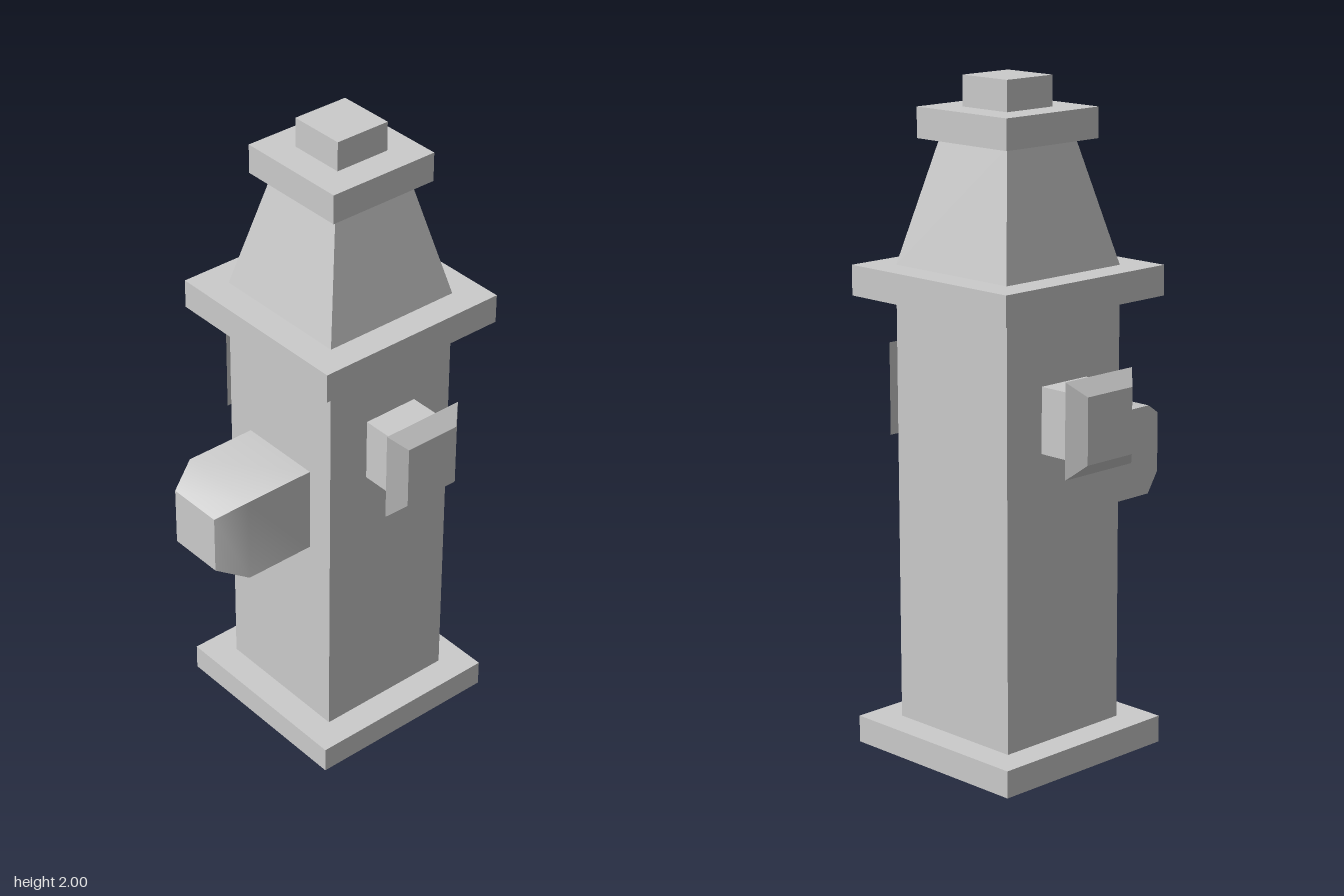
import * as THREE from 'three';
import { toCreasedNormals } from 'three/addons/utils/BufferGeometryUtils.js';

const material = new THREE.MeshStandardMaterial({ color: 0xcccccc });

// Closed solid through rectangular sections [y, halfX, halfZ], listed from bottom to top.
function rectLoft(name, sections) {
  const positions = [];
  const index = [];
  for (const [y, hx, hz] of sections) {
    positions.push(-hx, y, hz, hx, y, hz, hx, y, -hz, -hx, y, -hz);
  }
  const quad = (a, b, c, d) => index.push(a, b, c, a, c, d);
  for (let s = 0; s < sections.length - 1; s++) {
    for (let i = 0; i < 4; i++) {
      const j = (i + 1) % 4;
      quad(s * 4 + i, s * 4 + j, s * 4 + 4 + j, s * 4 + 4 + i);
    }
  }
  const top = (sections.length - 1) * 4;
  quad(3, 2, 1, 0);
  quad(top, top + 1, top + 2, top + 3);

  const geometry = new THREE.BufferGeometry();
  geometry.setAttribute('position', new THREE.Float32BufferAttribute(positions, 3));
  geometry.setIndex(index);
  const mesh = new THREE.Mesh(toCreasedNormals(geometry, 0.52), material);
  mesh.name = name;
  return mesh;
}

export function createModel() {
  const model = new THREE.Group();
  model.name = 'fireHydrant';

  // The column stands off-centre because of the side outlet
  const hydrant = new THREE.Group();
  hydrant.name = 'hydrant';
  hydrant.position.set(0.113, 0, -0.001);
  model.add(hydrant);

  // Square column: name, bottom, top, half width at bottom and top
  const column = [
    ['base', 0, 0.082, 0.317, 0.317],
    ['body', 0.082, 1.365, 0.227, 0.227],
    ['collar', 1.365, 1.455, 0.317, 0.317],
    ['bonnet', 1.455, 1.82, 0.227, 0.137],
    ['bonnetCap', 1.82, 1.91, 0.182, 0.182],
    ['topNut', 1.91, 2, 0.09, 0.09],
  ];
  for (const [name, y0, y1, h0, h1] of column) {
    hydrant.add(rectLoft(name, [[y0, h0, h0], [y1, h1, h1]]));
  }

  // Large outlet with a bevelled end, pointing to -x
  const outlet = rectLoft('sideOutlet', [
    [0.227, 0.137, 0.136],
    [0.455, 0.137, 0.136],
    [0.545, 0.092, 0.091],
  ]);
  outlet.rotation.z = Math.PI / 2;
  outlet.position.y = 0.847;
  hydrant.add(outlet);

  // Front and back nozzles: a stem and a flared cap
  for (const [name, turn] of [['frontNozzle', 0], ['backNozzle', Math.PI]]) {
    const nozzle = new THREE.Group();
    nozzle.name = name;
    const stem = rectLoft('nozzleStem', [[0.227, 0.09, 0.098], [0.364, 0.09, 0.098]]);
    const cap = rectLoft('nozzleCap', [[0.364, 0.135, 0.141], [0.408, 0.09, 0.098]]);
    for (const part of [stem, cap]) {
      part.rotation.x = Math.PI / 2;
      nozzle.add(part);
    }
    nozzle.position.y = 1.05;
    nozzle.rotation.y = turn;
    hydrant.add(nozzle);
  }

  return model;
}
